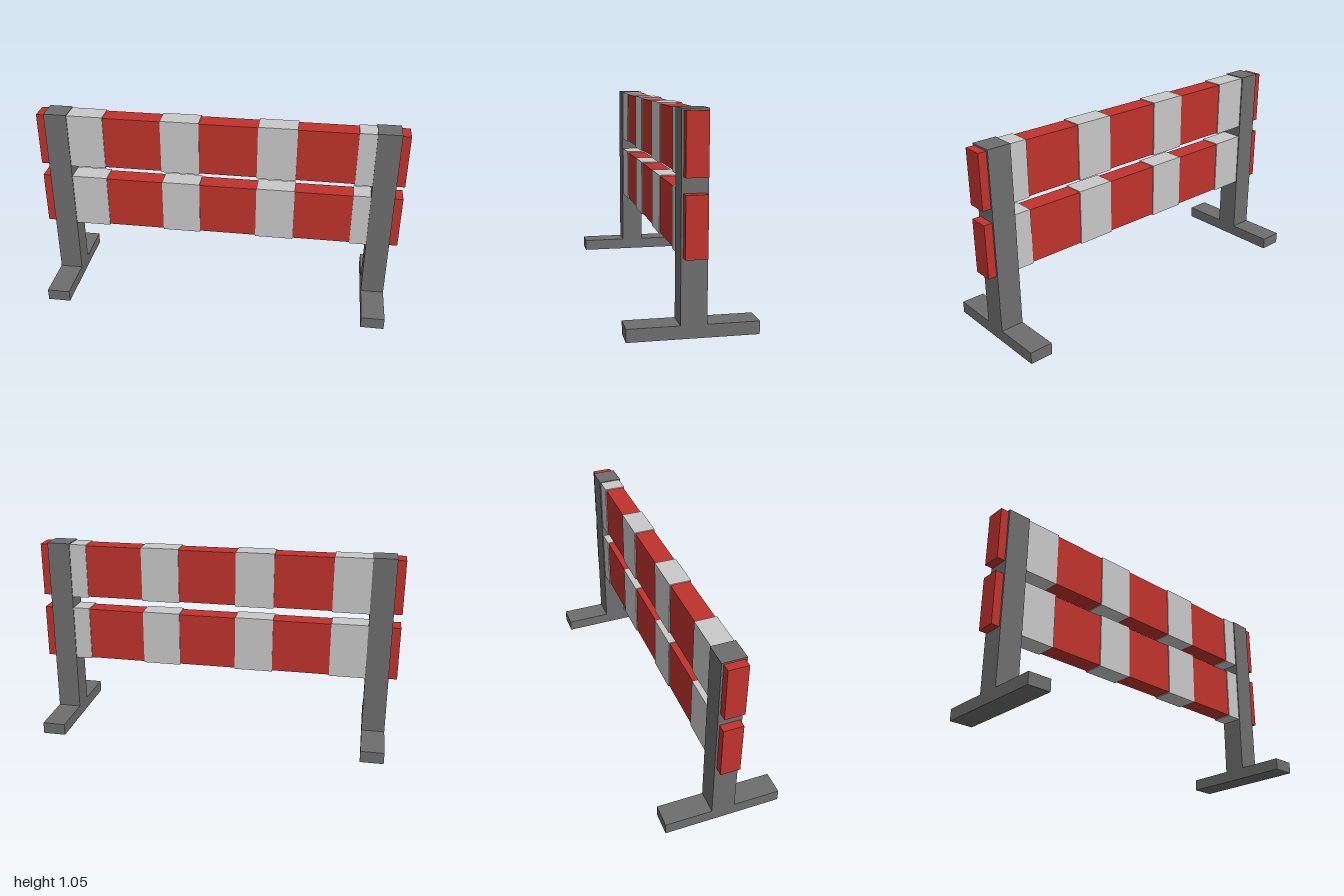
import * as THREE from 'three';

const mat = (name, color) => {
  const m = new THREE.MeshStandardMaterial({ color });
  m.name = name;
  return m;
};

export function createModel() {
  const red = mat('red', 0xc0332c);
  const white = mat('pale grey', 0xc9c9c9);
  const grey = mat('dark grey', 0x6e6e6e);

  const group = new THREE.Group();
  group.name = 'barrier';

  // Box given by its size, x centre and bottom height
  const box = (name, material, w, h, d, x, bottom) => {
    const mesh = new THREE.Mesh(new THREE.BoxGeometry(w, h, d), material);
    mesh.name = name;
    mesh.position.set(x, bottom + h / 2, 0);
    group.add(mesh);
  };

  // Upright posts on long feet
  for (const [side, s] of [['left', 1], ['right', -1]]) {
    box(`${side}Foot`, grey, 0.126, 0.064, 0.63, s * 0.892, 0);
    box(`${side}Post`, grey, 0.126, 0.989, 0.126, s * 0.892, 0.064);
  }

  // Two red planks, each wrapped by four slightly larger pale bands
  for (const [level, bottom] of [['lower', 0.381], ['upper', 0.75]]) {
    box(`${level}Plank`, red, 2, 0.294, 0.105, 0, bottom);
    for (let i = 0; i < 4; i++) {
      box(`${level}Band${i + 1}`, white, 0.21, 0.304, 0.115, -0.737 + i * 0.526, bottom - 0.005);
    }
  }
  return group;
}
